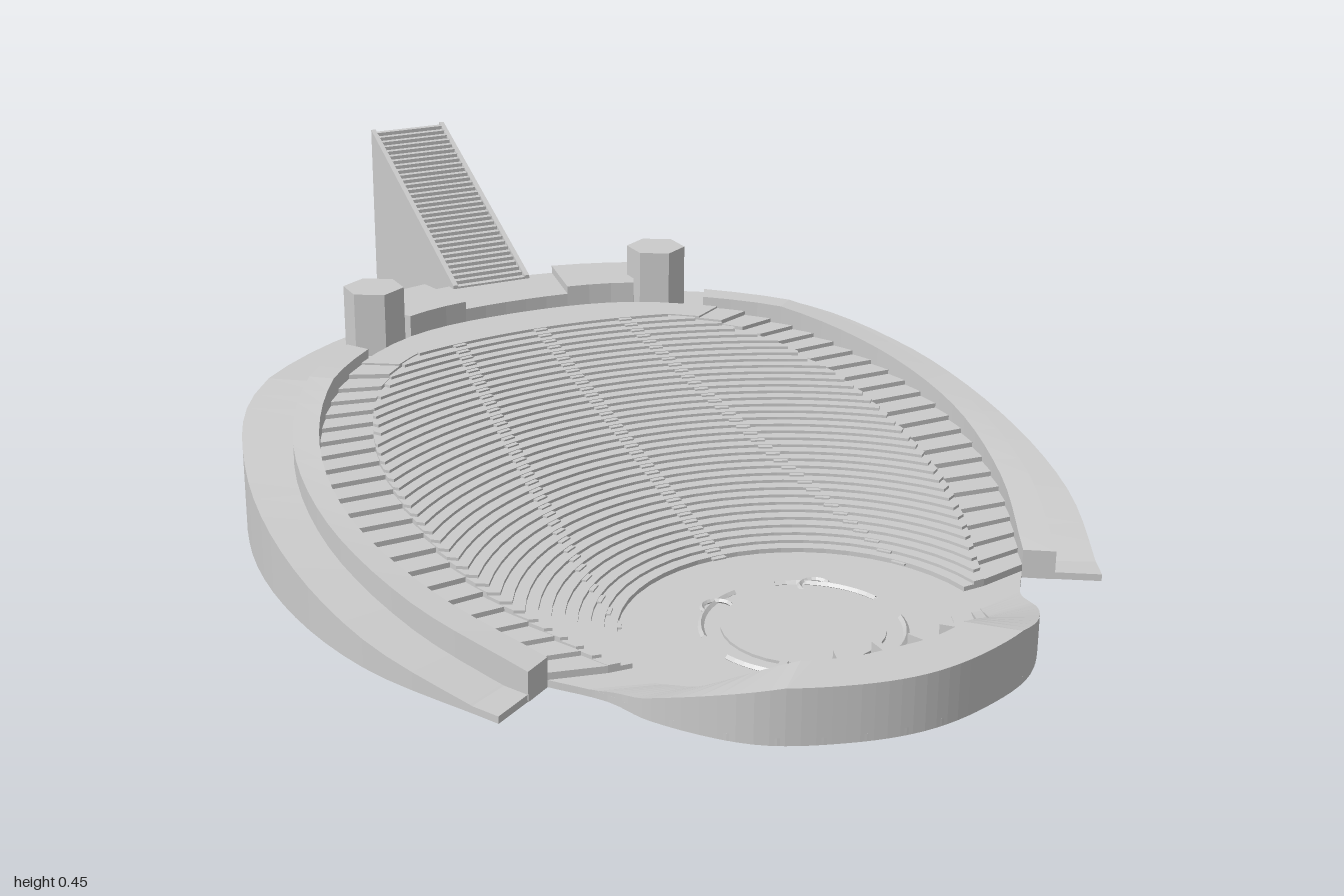
import * as THREE from 'three';

const material = new THREE.MeshStandardMaterial({ color: 0xcccccc, side: THREE.DoubleSide, flatShading: true });
const V = (x, y, z) => new THREE.Vector3(x, y, z);
const { lerp, mapLinear, clamp } = THREE.MathUtils;
const SEGMENTS = 60;
const FOCUS = 0.68; // z of the centre of the orchestra

// Mirrored outline from half the plan points [x, z]; runs counterclockwise seen from above
function outline(half, sign = 1) {
  const right = half.map(([x, z]) => V(sign * x, 0, z));
  const left = half.slice(0, -1).reverse().map(([x, z]) => V(-sign * x, 0, z));
  const curve = new THREE.CatmullRomCurve3([...right, ...left]);
  return (t) => curve.getPoint(t);
}

const outer = outline([[0.54, 0.71], [0.655, 0.46], [0.695, 0.2], [0.67, -0.06], [0.575, -0.3], [0.3, -0.52], [0, -0.585]]);
const wallOuter = outline([[0.475, 0.67], [0.575, 0.45], [0.62, 0.2], [0.59, -0.04], [0.48, -0.25], [0.25, -0.45], [0, -0.47]]);
const wallInner = outline([[0.43, 0.64], [0.53, 0.43], [0.58, 0.2], [0.55, -0.02], [0.445, -0.22], [0.235, -0.4], [0, -0.44]]);
const seatEdge = outline([[0.34, 0.66], [0.44, 0.42], [0.47, 0.2], [0.45, -0.02], [0.37, -0.2], [0.2, -0.34], [0, -0.38]]);
const stageOuter = outline([[0.43, 0.64], [0.37, 0.72], [0.34, 0.8], [0.24, 0.925], [0.12, 0.98], [0, 1]], -1);
const stageInner = outline([[0.31, 0.68], [0.28, 0.74], [0.25, 0.8], [0.17, 0.87], [0.08, 0.905], [0, 0.91]], -1);

// Solid band between two outlines, its top following a height rule, optionally in steps
function bandGeometry(a, b, top, t0 = 0, t1 = 1, stepped = false) {
  const n = Math.max(2, Math.round(SEGMENTS * (t1 - t0)));
  const pos = [];
  const quad = (p, q, r, s) => [p, q, r, p, r, s].forEach((v) => pos.push(v.x, v.y, v.z));
  const up = (v, y) => V(v.x, y, v.z);
  for (let i = 0; i < n; i++) {
    const ta = lerp(t0, t1, i / n), tb = lerp(t0, t1, (i + 1) / n);
    const A0 = a(ta), A1 = a(tb), B0 = b(ta), B1 = b(tb);
    const mid = top(a((ta + tb) / 2));
    const y0 = stepped ? mid : top(A0), y1 = stepped ? mid : top(A1);
    quad(up(A0, y0), up(A1, y1), up(B1, y1), up(B0, y0));
    quad(A0, A1, up(A1, y1), up(A0, y0));
    quad(B1, B0, up(B0, y0), up(B1, y1));
    if (stepped || i === 0) quad(B0, A0, up(A0, y0), up(B0, y0));
    if (stepped || i === n - 1) quad(A1, B1, up(B1, y1), up(A1, y1));
  }
  const g = new THREE.BufferGeometry();
  g.setAttribute('position', new THREE.Float32BufferAttribute(pos, 3));
  g.computeVertexNormals();
  return g;
}

// Flat slab from plan points, between two heights
function slabGeometry(points, y0, y1) {
  const shape = new THREE.Shape(points.map((p) => new THREE.Vector2(p.x, -p.z)));
  return new THREE.ExtrudeGeometry(shape, { depth: y1 - y0, bevelEnabled: false }).rotateX(-Math.PI / 2).translate(0, y0, 0);
}

// Side profile of [z, y] points, given a width across x
function profileGeometry(points, width, x) {
  const shape = new THREE.Shape(points.map(([z, y]) => new THREE.Vector2(-z, y)));
  return new THREE.ExtrudeGeometry(shape, { depth: width, bevelEnabled: false }).rotateY(Math.PI / 2).translate(x - width / 2, 0, 0);
}

const sample = (f, n) => Array.from({ length: n + 1 }, (_, i) => f(i / n));
const terraceHeight = ({ z }) => (z > -0.05 ? mapLinear(z, 0.71, -0.05, 0.004, 0.14) : Math.min(0.18, mapLinear(z, -0.05, -0.35, 0.14, 0.18)));
const wallHeight = ({ z }) => Math.min(0.217, mapLinear(z, 0.67, -0.2, 0.05, 0.21));
const stairHeight = ({ z }) => clamp(mapLinear(z, 0.64, -0.3, 0.02, 0.2), 0.015, 0.2);
const stageHeight = ({ z }) => (z > 0.78 ? Math.min(0.092, mapLinear(z, 0.78, 0.93, 0.03, 0.085)) : Math.max(0.012, mapLinear(z, 0.7, 0.78, 0.012, 0.03)));

export function createModel() {
  const model = new THREE.Group();
  const add = (name, geometry, parent = model) => {
    const mesh = new THREE.Mesh(geometry, material);
    mesh.name = name;
    parent.add(mesh);
    return mesh;
  };
  const group = (name) => {
    const g = new THREE.Group();
    g.name = name;
    model.add(g);
    return g;
  };

  // Ground slab and sloping surround
  add('base', slabGeometry([...sample(outer, 60), ...sample(stageOuter, 40)], 0, 0.012));
  for (const [t0, t1] of [[0, 5 / 12], [7 / 12, 1]]) add('outerTerrace', bandGeometry(outer, wallInner, terraceHeight, t0, t1));
  for (const [t0, t1] of [[0, 4.5 / 12], [7.5 / 12, 1]]) add('ringWall', bandGeometry(wallOuter, wallInner, wallHeight, t0, t1));

  // Rear rim with a lower entrance in the middle
  add('rearRim', bandGeometry(outer, wallInner, () => 0.24, 5 / 12, 5.55 / 12));
  add('rearRim', bandGeometry(outer, wallInner, () => 0.24, 6.45 / 12, 7 / 12));
  add('rearEntrance', bandGeometry(outer, wallInner, () => 0.225, 5.55 / 12, 6.45 / 12));

  // Stepped walkway round the seats
  add('sideStairs', bandGeometry(wallInner, seatEdge, stairHeight, 0, 1, true));

  // Seat tiers: stacked slabs cut by arcs about the orchestra
  const seats = group('seatTiers'), aisles = group('aisles');
  const TIERS = 36;
  const edge = sample(seatEdge, 100);
  const radius = (k) => lerp(0.3, 1.03, k / TIERS);
  const height = (k) => lerp(0.02, 0.208, k / TIERS);
  for (let k = 0; k < TIERS; k++) {
    const r = radius(k);
    const kept = edge.filter((p) => Math.hypot(p.x, p.z - FOCUS) > r + 0.002);
    const end = Math.atan2(kept[0].x, FOCUS - kept[0].z);
    const arc = sample((t) => {
      const a = lerp(-end, end, t);
      return V(r * Math.sin(a), 0, FOCUS - r * Math.cos(a));
    }, 24);
    add('seatTier', slabGeometry([...kept, ...arc], k ? height(k - 1) : 0, height(k)), seats);

    // Half steps on the aisles
    for (const s of [-1, 0, 1]) {
      const x = s * lerp(0.26, 0.17, k / TIERS), a = Math.asin(x / r);
      const step = add('aisleStep', new THREE.BoxGeometry(0.025, 0.003, 0.012), aisles);
      step.position.set(x, height(k) - 0.0025, FOCUS - (r - 0.004) * Math.cos(a));
      step.rotation.y = -a;
    }
  }

  // Raised crescent round the front, with terraces dropping to the floor inside
  add('stageCrescent', bandGeometry(stageOuter, stageInner, stageHeight));
  const shrink = (f, s) => (t) => {
    const p = f(t);
    return V(p.x * s, 0, FOCUS + (p.z - FOCUS) * s);
  };
  for (let j = 0; j < 3; j++) {
    const a = shrink(stageInner, 1 - j * 0.06), b = shrink(stageInner, 0.94 - j * 0.06);
    add('stageTerrace', bandGeometry(a, b, (p) => Math.max(0.013, stageHeight(p) * (0.75 - j * 0.22)), 0.1, 0.9));
  }
  for (const t of [0.3, 0.4, 0.5, 0.6, 0.7]) {
    const p = shrink(stageInner, 0.9)(t), h = stageHeight(p) + 0.012;
    const rib = add('stageRib', new THREE.BoxGeometry(0.012, h, 0.05));
    rib.position.set(p.x, h / 2, p.z);
    rib.rotation.y = Math.atan2(p.x, p.z - FOCUS);
  }

  // Orchestra floor with its raised disc and small curbs
  add('orchestraDisc', new THREE.CylinderGeometry(0.13, 0.13, 0.006, 32)).position.set(0, 0.014, 0.66);
  for (let i = 0; i < 4; i++) {
    const curb = add('orchestraCurb', new THREE.TorusGeometry(0.16, 0.005, 4, 10, 1.1).rotateX(-Math.PI / 2));
    curb.position.set(0, 0.013, 0.66);
    curb.rotation.y = (i * Math.PI) / 2 + 0.23;
  }
  for (const s of [-1, 1]) {
    const curb = add('smallCurb', new THREE.TorusGeometry(0.025, 0.004, 4, 10, Math.PI).rotateX(-Math.PI / 2));
    curb.position.set(s * 0.09, 0.016, 0.545);
  }

  // Hexagonal towers
  for (const s of [-1, 1]) {
    const tower = add('tower', new THREE.CylinderGeometry(0.057, 0.057, 0.3, 6));
    tower.position.set(s * 0.297, 0.15, -0.425);
  }

  // Rear stairway: two side walls, fine steps on top, coarse steps beneath
  for (const s of [-1, 1]) {
    add('stairwayWall', profileGeometry([[-0.56, 0], [-0.56, 0.232], [-1, 0.45], [-1, 0]], 0.01, s * 0.077));
  }
  const flight = [];
  const STEPS = 32, UNDER = 7;
  for (let i = 0; i < STEPS; i++) {
    const y = lerp(0.222, 0.445, (i + 1) / STEPS);
    flight.push([lerp(-0.56, -1, i / STEPS), y], [lerp(-0.56, -1, (i + 1) / STEPS), y]);
  }
  for (let i = UNDER; i > 0; i--) {
    const y = lerp(0, 0.2, i / UNDER);
    flight.push([lerp(-0.58, -1, i / UNDER), y], [lerp(-0.58, -1, (i - 1) / UNDER), y]);
  }
  flight.push([-0.56, 0]);
  add('stairwayFlight', profileGeometry(flight, 0.146, 0));

  return model;
}
